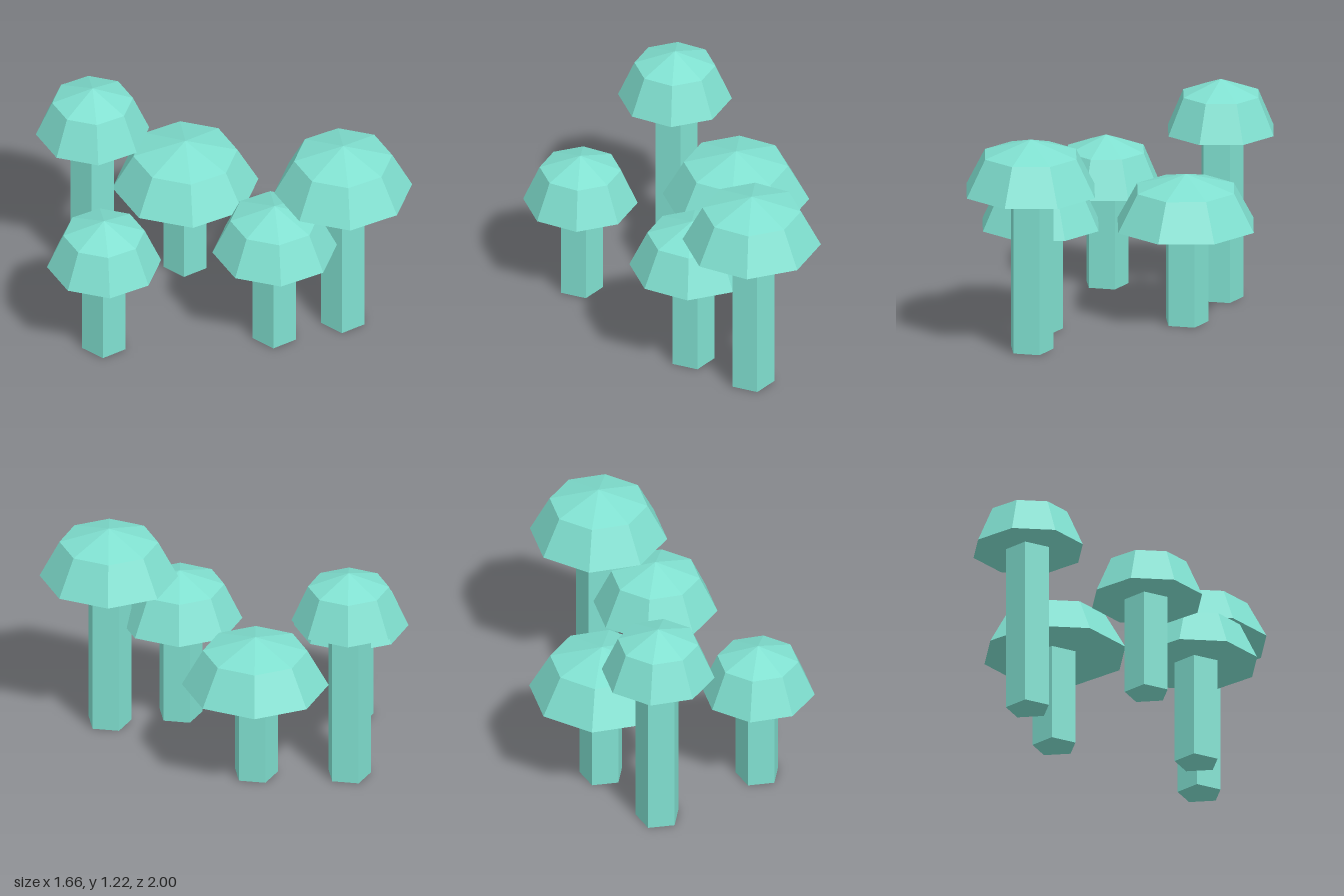
import * as THREE from 'three';

const material = new THREE.MeshStandardMaterial({ color: 0x80e0d0, flatShading: true });

const STEM_RADIUS = 0.122;
const BAND_HEIGHT = 0.205; // sloping side of the cap
const CAP_HEIGHT = 0.287;

// One mushroom: five-sided stem under an eight-sided faceted cap
function createMushroom(rimY, capRadius) {
  const mushroom = new THREE.Group();

  const stemHeight = rimY + 0.02;
  const stem = new THREE.Mesh(
    new THREE.CylinderGeometry(STEM_RADIUS, STEM_RADIUS, stemHeight, 5, 1, false, Math.PI / 2),
    material
  );
  stem.name = 'stem';
  stem.position.y = stemHeight / 2;

  // Flat underside, sloping band, shallow pointed crown
  const profile = [
    [0, 0],
    [capRadius, 0],
    [capRadius * 0.712, BAND_HEIGHT],
    [0, CAP_HEIGHT],
  ].map(([r, y]) => new THREE.Vector2(r, y));
  const cap = new THREE.Mesh(new THREE.LatheGeometry(profile, 8), material);
  cap.name = 'cap';
  cap.position.y = rimY;

  mushroom.add(stem, cap);
  return mushroom;
}

export function createModel() {
  const model = new THREE.Group();
  model.name = 'mushroomCluster';

  // x, z, height of the cap rim, cap radius
  const layout = [
    ['leftFrontMushroom', 0.455, 0.625, 0.884, 0.371],
    ['middleFrontMushroom', 0.12, 0.425, 0.581, 0.335],
    ['leftBackMushroom', 0.304, -0.341, 0.539, 0.393],
    ['rightMushroom', -0.523, -0.229, 0.546, 0.307],
    ['backMushroom', -0.048, -0.695, 0.932, 0.305],
  ];
  for (const [name, x, z, rimY, capRadius] of layout) {
    const mushroom = createMushroom(rimY, capRadius);
    mushroom.name = name;
    mushroom.position.set(x, 0, z);
    model.add(mushroom);
  }
  return model;
}
